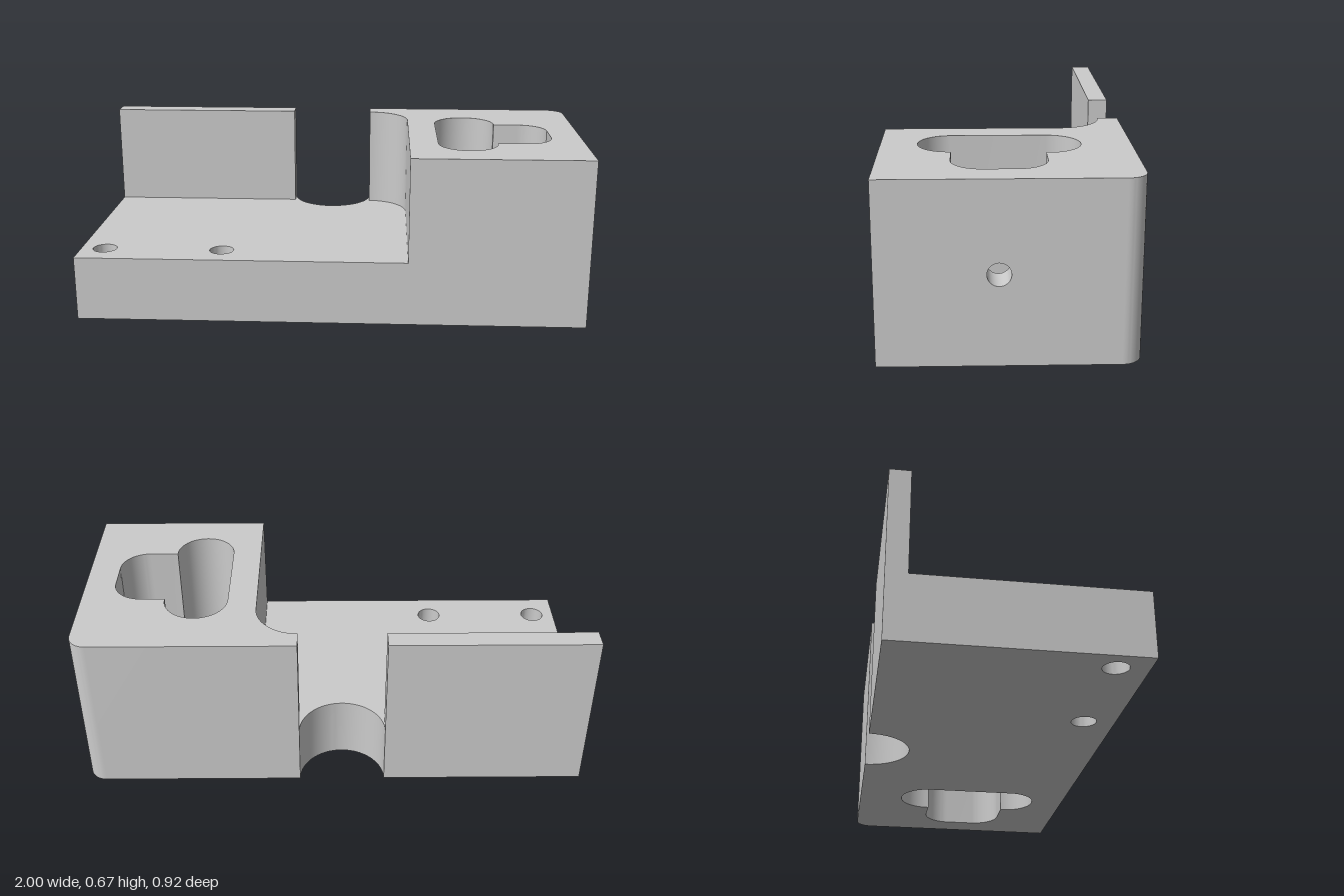
import * as THREE from 'three';
import { mergeGeometries, toCreasedNormals } from 'three/addons/utils/BufferGeometryUtils.js';

const PI = Math.PI;
const F = 0.255, H = 0.67;          // floor height, full height
const Z = 0.46;                     // half depth
const STEP = 0.305, WALL = -0.38;   // block's inner face, back wall's inner face
const NL = -0.2, NR = 0.14;         // notch edges
const BORE = { y: 0.335, z: 0.035, r: 0.042 };

// Keep positions only; optionally turn the faces round
function plain(geo, flip = false) {
  if (flip) geo.index.array.reverse();
  geo.deleteAttribute('uv');
  geo.deleteAttribute('normal');
  return geo.toNonIndexed();
}

// Upright strip along plan points (x, z), solid on the left of travel seen from above
function strip(points, y0, y1) {
  const pos = [];
  for (let i = 0; i < points.length - 1; i++) {
    const a = points[i], b = points[i + 1];
    pos.push(a.x, y0, a.y, b.x, y0, b.y, b.x, y1, b.y);
    pos.push(a.x, y0, a.y, b.x, y1, b.y, a.x, y1, a.y);
  }
  const geo = new THREE.BufferGeometry();
  geo.setAttribute('position', new THREE.Float32BufferAttribute(pos, 3));
  return geo;
}
const line = (...pts) => pts.map(([x, z]) => new THREE.Vector2(x, z));

// Horizontal face from plan points
function cap(points, holes, y, up) {
  const shape = new THREE.Shape(points);
  holes.forEach(h => shape.holes.push(new THREE.Path(h)));
  return plain(new THREE.ShapeGeometry(shape).rotateX(PI / 2).translate(0, y, 0), up);
}

function arc(cx, cz, r, a0, a1, n = 24) {
  return Array.from({ length: n + 1 }, (_, i) => {
    const a = a0 + (a1 - a0) * i / n;
    return new THREE.Vector2(cx + r * Math.cos(a), cz + r * Math.sin(a));
  });
}

// Upright face across x pierced by the bore; dir is the way it faces
function boredFace(x, z0, z1, y0, y1, dir) {
  const shape = new THREE.Shape(line([-dir * z0, y0], [-dir * z1, y0], [-dir * z1, y1], [-dir * z0, y1]));
  shape.holes.push(new THREE.Path(arc(-dir * BORE.z, BORE.y, BORE.r, 0, 2 * PI, 32)));
  return plain(new THREE.ShapeGeometry(shape).rotateY(dir * PI / 2).translate(x, 0, 0));
}

export function createModel() {
  const group = new THREE.Group();
  const material = new THREE.MeshStandardMaterial({ color: 0xcccccc });
  const add = (name, geos) => {
    const mesh = new THREE.Mesh(toCreasedNormals(mergeGeometries(geos), 0.5), material);
    mesh.name = name;
    group.add(mesh);
  };

  // Plan curves
  const notch = arc((NL + NR) / 2, -Z, (NR - NL) / 2, 0, PI, 40);
  const corner = arc(0.93, -0.39, 0.07, 0, -PI / 2, 16);
  const fillet = arc(NR, -0.215, 0.165, -PI / 2, 0);
  const screws = [-0.905, -0.435].map(x => arc(x, 0.34, 0.048, 0, 2 * PI, 32));
  const pocket = [
    ...arc(0.77, 0.09, 0.11, 0, PI / 2),
    ...line([0.655, 0.2]),
    ...arc(0.5375, 0.207, 0.1175, 0, PI, 32),
    ...arc(0.545, -0.15, 0.125, PI, 2 * PI, 32),
    ...line([0.67, -0.14]),
    ...arc(0.77, -0.03, 0.11, -PI / 2, 0),
  ];
  const outline = [...line([-1, Z], [1, Z]), ...corner, ...notch, ...line([-1, -Z])];
  const inner = [...line([NR, -Z]), ...fillet, ...line([STEP, Z])];

  // Base plate with its round notch and two screw holes
  const floor = [...inner, ...line([-1, Z], [-1, WALL], [NL, WALL]), ...notch.slice(1).reverse()];
  add('basePlate', [
    cap(outline, [...screws, pocket], 0, false),
    cap(floor, screws, F, true),
    strip(line([-1, -Z], [-1, Z], [STEP, Z]), 0, F),
    strip(notch, 0, F),
    ...screws.map(s => strip(s, 0, F)),
  ]);

  // Thin back wall
  add('backWall', [
    strip(line([NL, -Z], [-1, -Z]), 0, H),
    strip(line([-1, -Z], [-1, WALL], [NL, WALL], [NL, -Z]), F, H),
    cap(line([-1, -Z], [-1, WALL], [NL, WALL], [NL, -Z]), [], H, true),
  ]);

  // Tall block with the through pocket
  add('block', [
    strip(line([STEP, Z], [1, Z]), 0, H),
    boredFace(1, -0.39, Z, 0, H, 1),
    strip([...corner, ...line([NR, -Z])], 0, H),
    strip(inner, F, H),
    cap([...inner, ...line([1, Z]), ...corner], [pocket], H, true),
    strip(pocket, 0, H),
    boredFace(0.88, -0.03, 0.09, 0, H, -1),
  ]);

  // Side bore from the outer face into the pocket
  const bore = new THREE.CylinderGeometry(BORE.r, BORE.r, 0.12, 32, 1, true);
  add('sideBore', [plain(bore.rotateZ(PI / 2).translate(0.94, BORE.y, BORE.z), true)]);

  return group;
}
